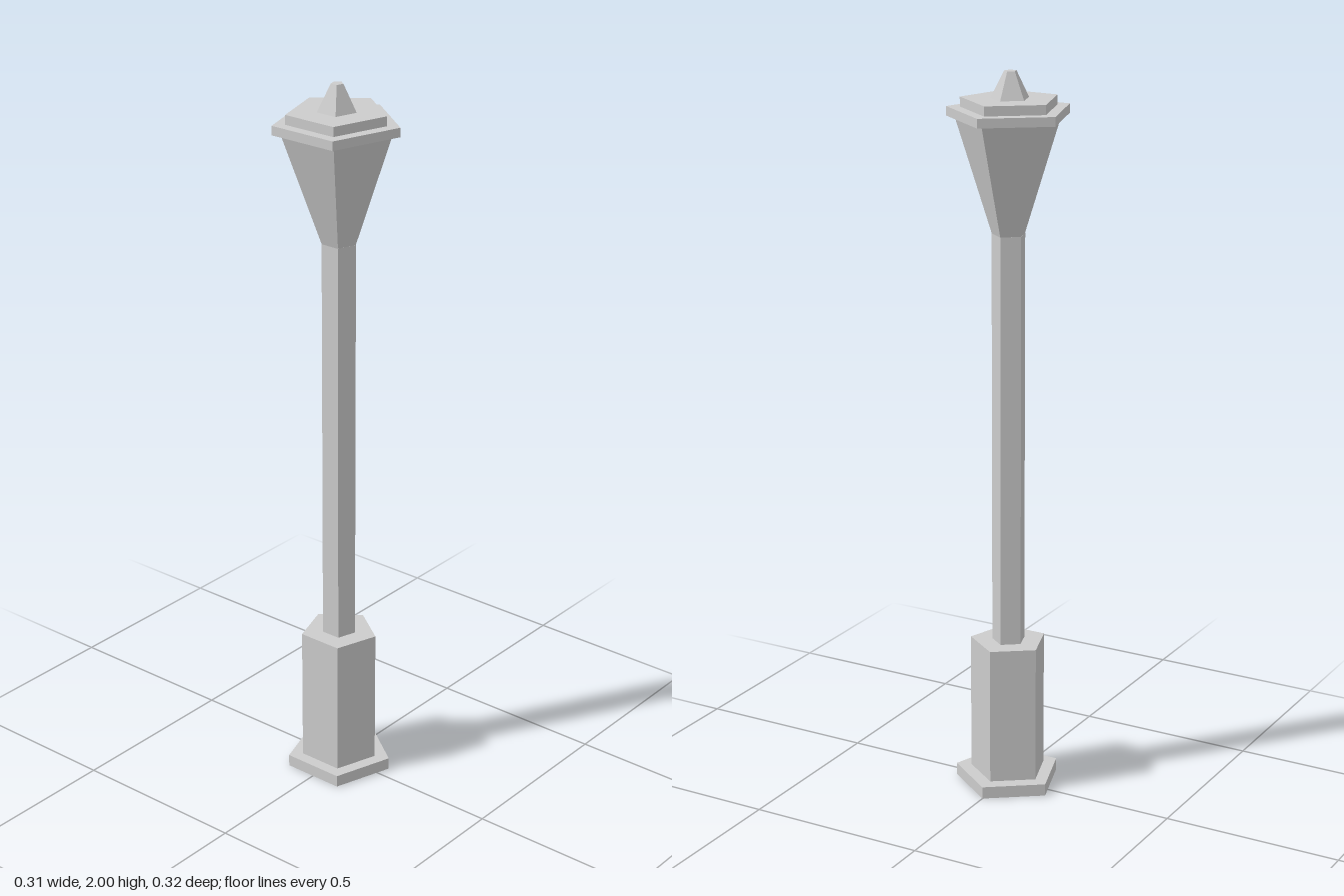
import * as THREE from 'three';

const material = new THREE.MeshStandardMaterial({ color: 0xcccccc, flatShading: true });

// Five-sided section with one corner pointing to +x; depth stretches it along z.
function section(name, y0, y1, bottomRadius, topRadius, x, depth = 1) {
  const geometry = new THREE.CylinderGeometry(topRadius, bottomRadius, y1 - y0, 5, 1, false, Math.PI / 2);
  geometry.scale(1, 1, depth);
  const mesh = new THREE.Mesh(geometry, material);
  mesh.name = name;
  mesh.position.set(x, (y0 + y1) / 2, 0);
  return mesh;
}

export function createModel() {
  const lampPost = new THREE.Group();
  lampPost.name = 'lampPost';
  lampPost.add(
    // Foot and post
    section('basePlate', 0, 0.034, 0.148, 0.148, -0.008, 1.01),
    section('pedestal', 0.034, 0.422, 0.106, 0.106, -0.01, 1.02),
    section('shaft', 0.422, 1.57, 0.047, 0.047, -0.01),
    // Lantern and its cap
    section('lantern', 1.57, 1.877, 0.047, 0.15, -0.0165, 0.99),
    section('capRim', 1.877, 1.902, 0.1735, 0.1735, -0.0167, 0.98),
    section('capStep', 1.902, 1.928, 0.1375, 0.1375, -0.0175, 0.975),
    section('finial', 1.928, 2, 0.0545, 0.0175, -0.0172, 0.96),
  );
  // The lantern's lower end sits over the shaft while its top leans under the cap.
  const lantern = lampPost.getObjectByName('lantern');
  const p = lantern.geometry.attributes.position;
  for (let i = 0; i < p.count; i++) {
    if (p.getY(i) < 0) p.setX(i, p.getX(i) + 0.0065);
  }
  return lampPost;
}
